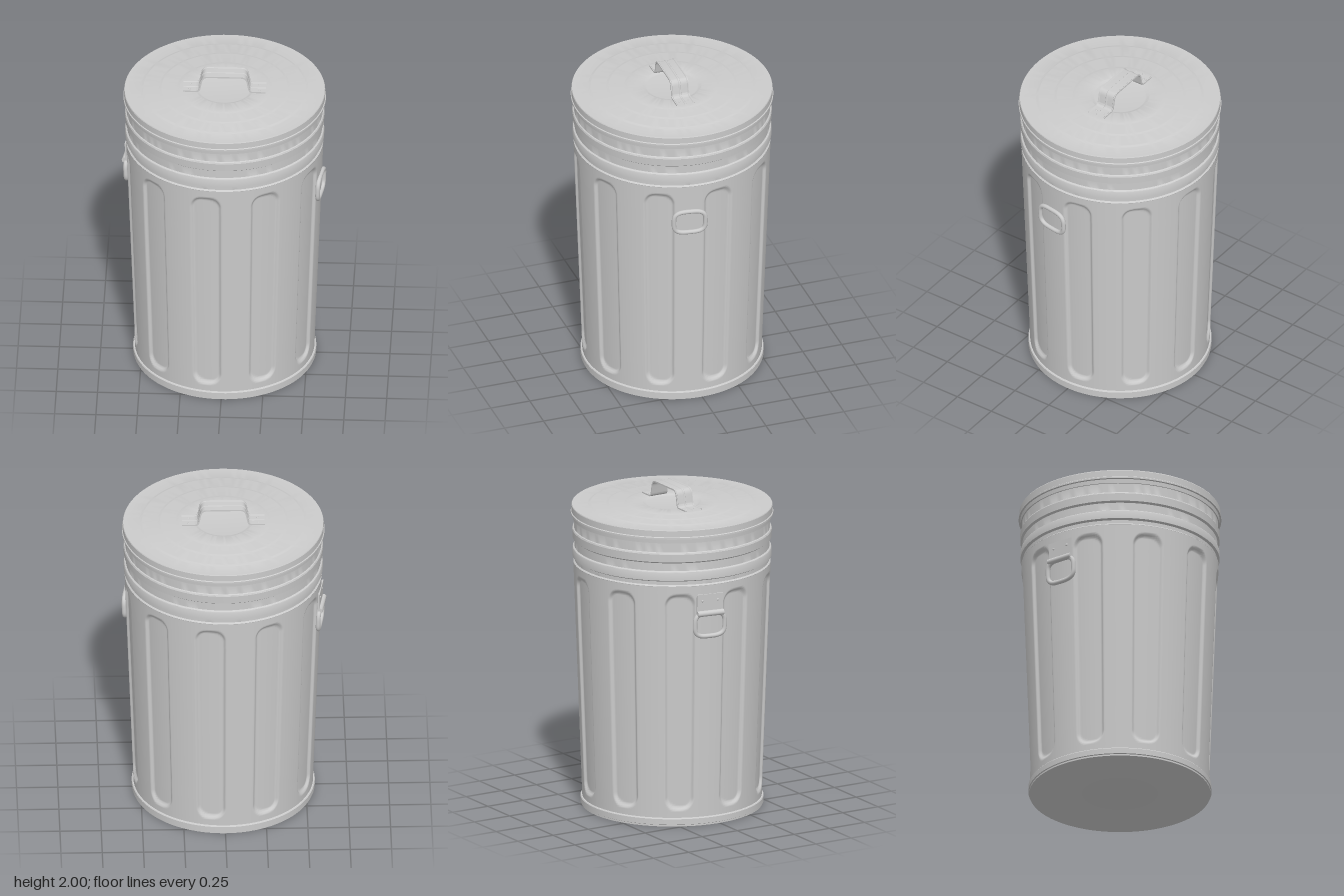
import * as THREE from 'three';
import { toCreasedNormals } from 'three/addons/utils/BufferGeometryUtils.js';

const metal = new THREE.MeshStandardMaterial({ color: 0xcccccc });
const metalThin = new THREE.MeshStandardMaterial({ color: 0xcccccc, side: THREE.DoubleSide });
const DEG = Math.PI / 180;

function part(name, geometry, parent, material = metal) {
  const mesh = new THREE.Mesh(geometry, material);
  mesh.name = name;
  parent.add(mesh);
  return mesh;
}

// Surface from nu columns (closed loop) by nv rows
function loopSurface(nu, nv, point) {
  const pos = [], index = [];
  for (let j = 0; j < nv; j++) for (let i = 0; i < nu; i++) pos.push(...point(i, j));
  for (let j = 0; j < nv - 1; j++) {
    for (let i = 0; i < nu; i++) {
      const k = (i + 1) % nu;
      const a = j * nu + i, b = j * nu + k, c = b + nu, d = a + nu;
      index.push(a, b, c, a, c, d);
    }
  }
  const g = new THREE.BufferGeometry();
  g.setAttribute('position', new THREE.Float32BufferAttribute(pos, 3));
  g.setIndex(index);
  g.computeVertexNormals();
  return g;
}

function turned(profile) {
  const g = new THREE.LatheGeometry(profile.map(([r, y]) => new THREE.Vector2(r, y)), 120);
  return toCreasedNormals(g, 0.5);
}

// Tapered wall with ten recessed, round-ended panels
function wallGeometry() {
  const half = [2, 4, 5.5, 6.5, 7.2, 7.8, 8.3, 8.8, 9.3, 10, 12, 15];
  const cols = [-18, ...half.map(a => -a).reverse(), 0, ...half];
  const thetas = [];
  for (let p = 0; p < 10; p++) cols.forEach(a => thetas.push([a, (a - 9 + 36 * p) * DEG]));
  const rows = [0.05];
  for (let k = 0; k <= 14; k++) rows.push(0.09 + k * 0.01);
  for (let k = 1; k <= 8; k++) rows.push(0.23 + k * 0.125);
  for (let k = 0; k <= 14; k++) rows.push(1.34 + k * 0.01);
  rows.push(1.52);
  const y0 = 0.1, y1 = 1.47, corner = 0.075;
  return loopSurface(thetas.length, rows.length, (i, j) => {
    const y = rows[j], [a, t] = thetas[i];
    const base = 0.543 + (y - 0.05) / 1.47 * 0.054;
    // signed distance to a rounded rectangle
    const dx = Math.abs(a * DEG) * base - 9.3 * DEG * base + corner;
    const dy = Math.abs(y - (y0 + y1) / 2) - (y1 - y0) / 2 + corner;
    const d = Math.hypot(Math.max(dx, 0), Math.max(dy, 0)) + Math.min(Math.max(dx, dy), 0) - corner;
    const r = base - 0.017 * THREE.MathUtils.smoothstep(-d, 0, 0.018);
    return [r * Math.sin(t), y, r * Math.cos(t)];
  });
}

// Pressed strip bent into a carrying handle on the lid
function lidHandleGeometry() {
  const path = new THREE.Path();
  path.moveTo(-0.25, 1.893);
  path.lineTo(-0.175, 1.893);
  path.quadraticCurveTo(-0.152, 1.893, -0.149, 1.915);
  path.lineTo(-0.14, 1.96);
  path.quadraticCurveTo(-0.133, 1.996, -0.1, 1.996);
  path.lineTo(0.1, 1.996);
  path.quadraticCurveTo(0.133, 1.996, 0.14, 1.96);
  path.lineTo(0.149, 1.915);
  path.quadraticCurveTo(0.152, 1.893, 0.175, 1.893);
  path.lineTo(0.25, 1.893);
  const pts = path.getPoints(8);
  // strip section: raised lips and a centre bead
  const section = [
    [-0.057, 0.004], [-0.051, 0.004], [-0.047, 0], [-0.007, 0], [-0.004, 0.003], [0.004, 0.003],
    [0.007, 0], [0.047, 0], [0.051, 0.004], [0.057, 0.004], [0.057, -0.005], [-0.057, -0.005]];
  const g = loopSurface(section.length, pts.length, (i, j) => {
    const a = pts[Math.max(j - 1, 0)], b = pts[Math.min(j + 1, pts.length - 1)];
    const t = b.clone().sub(a).normalize();
    const [z, n] = section[i];
    return [pts[j].x - t.y * n, pts[j].y + t.x * n, z];
  });
  return toCreasedNormals(g, 0.5);
}

// Rounded-rectangle pull ring
function ringGeometry() {
  const pts = [];
  for (let k = 0; k < 40; k++) {
    const t = k / 40 * Math.PI * 2, c = Math.cos(t), s = Math.sin(t), e = 0.6;
    pts.push(new THREE.Vector3(
      Math.sign(c) * Math.abs(c) ** e * 0.097, Math.sign(s) * Math.abs(s) ** e * 0.073, 0));
  }
  return new THREE.TubeGeometry(new THREE.CatmullRomCurve3(pts, true), 80, 0.014, 10, true);
}

function sideHandle(name, degrees, mounted) {
  const group = new THREE.Group();
  group.name = name;
  group.rotation.y = degrees * DEG;
  const ring = part('pullRing', ringGeometry(), group);
  ring.position.set(0, 1.272, 0.592);
  ring.rotation.x = 0.037;
  if (mounted) {
    // riveted plate with a rolled hinge
    const plate = part('mountPlate', new THREE.BoxGeometry(0.17, 0.12, 0.01), group);
    plate.position.set(0, 1.405, 0.593);
    plate.rotation.x = 0.037;
    const barrel = part('hingeBarrel', new THREE.CylinderGeometry(0.018, 0.018, 0.17, 20), group);
    barrel.rotation.z = Math.PI / 2;
    barrel.position.set(0, 1.345, 0.6);
    for (const x of [-0.05, 0.05]) {
      const rivet = part('plateRivet', new THREE.SphereGeometry(0.008, 12, 8), group);
      rivet.scale.z = 0.5;
      rivet.position.set(x, 1.425, 0.599);
    }
  }
  return group;
}

export function createModel() {
  const can = new THREE.Group();
  can.name = 'trashCan';

  part('wall', wallGeometry(), can);
  part('base', turned([
    [0, 0], [0.548, 0], [0.548, 0.01], [0.554, 0.013], [0.554, 0.047], [0.55, 0.052], [0.54, 0.054]]), can);

  // Neck with stepped bands
  part('neck', turned([
    [0.595, 1.515], [0.597, 1.522], [0.588, 1.53], [0.588, 1.552], [0.602, 1.56], [0.602, 1.605],
    [0.599, 1.612], [0.59, 1.618], [0.59, 1.667], [0.602, 1.676], [0.604, 1.724], [0.6, 1.732],
    [0.594, 1.736], [0.594, 1.8]]), can);

  // Lid with overhanging rim and concentric pressed steps
  const lid = new THREE.Group();
  lid.name = 'lid';
  can.add(lid);
  part('lidCover', turned([
    [0.59, 1.795], [0.601, 1.795], [0.603, 1.82], [0.613, 1.822], [0.613, 1.832], [0.608, 1.836],
    [0.608, 1.874], [0.605, 1.879], [0.6, 1.879], [0.51, 1.878], [0.505, 1.879], [0.495, 1.883],
    [0.49, 1.884], [0.4, 1.883], [0.395, 1.884], [0.385, 1.887], [0.38, 1.888], [0.29, 1.885],
    [0.285, 1.886], [0.275, 1.888], [0.27, 1.889], [0.18, 1.889], [0.175, 1.888], [0.162, 1.881],
    [0.155, 1.88], [0, 1.88]]), lid);
  part('lidHandle', lidHandleGeometry(), lid, metalThin);
  for (const x of [-0.21, 0.21]) for (const z of [-0.028, 0.028]) {
    const rivet = part('handleRivet', new THREE.SphereGeometry(0.007, 12, 8), lid);
    rivet.scale.y = 0.5;
    rivet.position.set(x, 1.893, z);
  }

  can.add(sideHandle('leftHandle', 81, false), sideHandle('rightHandle', -99, true));
  return can;
}
